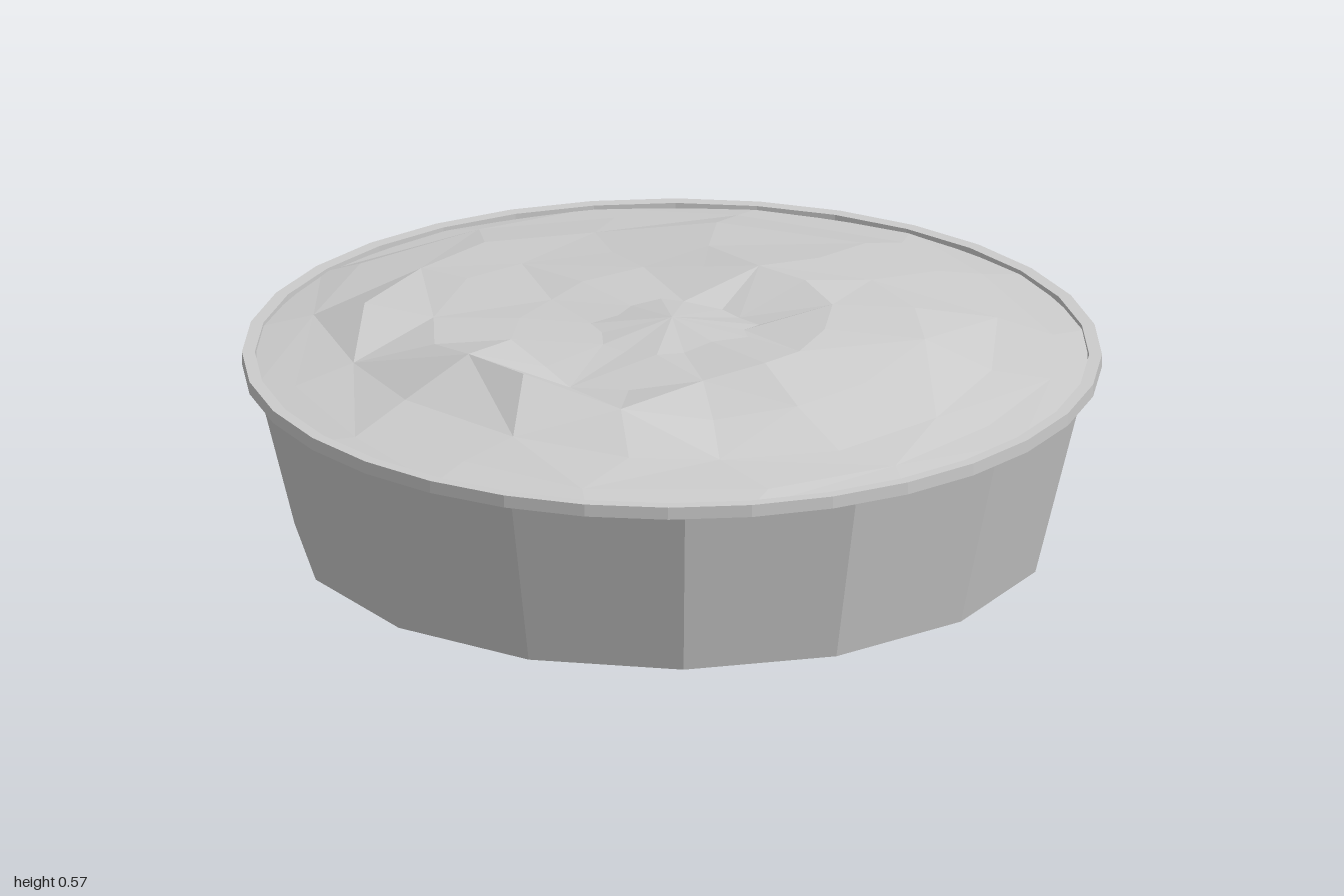
import * as THREE from 'three';

// Filling heights above the rim line in hundredths; 16 directions from +x towards +z
const RINGS = [
  [0.18, [8, 8, 7, 7, 6, 6, 6, 6, 6, 6, 6, 6, 5, 5, 6, 7]],
  [0.38, [9, 9, 7, 5, 4, 5, 6, 6, 5, 6, 6, 8, 10, 10, 9, 9]],
  [0.57, [6, 6, 5, 8, 12, 11, 6, 5, 5, 4, 4, 6, 7, 7, 7, 7]],
  [0.75, [2, 1.5, 1.5, 2, 3, 3.5, 2, 6, 4, 3, 2, 3, 3, 2.5, 2, 2]],
  [0.89, [0, 0, 0, 0, 0.5, 0, 0, 1, 1, 0, 0, 0, 0.5, 0, 0, 0]],
  [0.985, new Array(16).fill(-1.2)],
];

// Lumpy low-poly surface made of uneven rings around a raised centre
function fillingGeometry() {
  const n = 16;
  let seed = 7;
  const jitter = (a) => {
    seed = (seed * 16807) % 2147483647;
    return (seed / 2147483647 - 0.5) * a;
  };
  const pos = [0, 0.54, 0];
  const index = [];
  RINGS.forEach(([radius, heights], r) => {
    const loose = r < RINGS.length - 1 ? 1 : 0;
    heights.forEach((h, k) => {
      const a = (k / n) * Math.PI * 2 + jitter(0.14) * loose;
      const d = radius + jitter(0.06) * loose;
      pos.push(d * Math.cos(a), 0.45 + h / 100, d * Math.sin(a));
      const k2 = (k + 1) % n;
      const c = 1 + r * n + k, d2 = 1 + r * n + k2;
      if (r === 0) {
        index.push(0, d2, c);
      } else {
        const p = c - n, q = d2 - n;
        if ((k + r) % 2) index.push(p, q, c, q, d2, c);
        else index.push(p, q, d2, p, d2, c);
      }
    });
  });
  const g = new THREE.BufferGeometry();
  g.setAttribute('position', new THREE.Float32BufferAttribute(pos, 3));
  g.setIndex(index);
  const flat = g.toNonIndexed();
  flat.computeVertexNormals();
  return flat;
}

export function createModel() {
  const group = new THREE.Group();
  group.name = 'filledDish';
  const grey = new THREE.MeshStandardMaterial({ color: 0xcccccc, flatShading: true });
  grey.name = 'plainGrey';
  const add = (name, geometry) => {
    const mesh = new THREE.Mesh(geometry, grey);
    mesh.name = name;
    group.add(mesh);
    return mesh;
  };

  // Tapered 15-sided dish with one corner at the back, closed below
  const wall = new THREE.CylinderGeometry(0.985, 0.88, 0.42, 15, 1, true, Math.PI);
  add('dishWall', wall).position.y = 0.21;
  const base = add('dishBase', new THREE.CircleGeometry(0.88, 15, Math.PI / 2));
  base.rotation.x = Math.PI / 2;
  base.rotation.z = Math.PI;

  // Flat 32-sided lip
  const profile = [[0.97, 0.42], [1, 0.42], [1, 0.45], [0.97, 0.45], [0.97, 0.42]];
  add('rim', new THREE.LatheGeometry(profile.map(([x, y]) => new THREE.Vector2(x, y)), 32));

  add('filling', fillingGeometry());
  return group;
}
